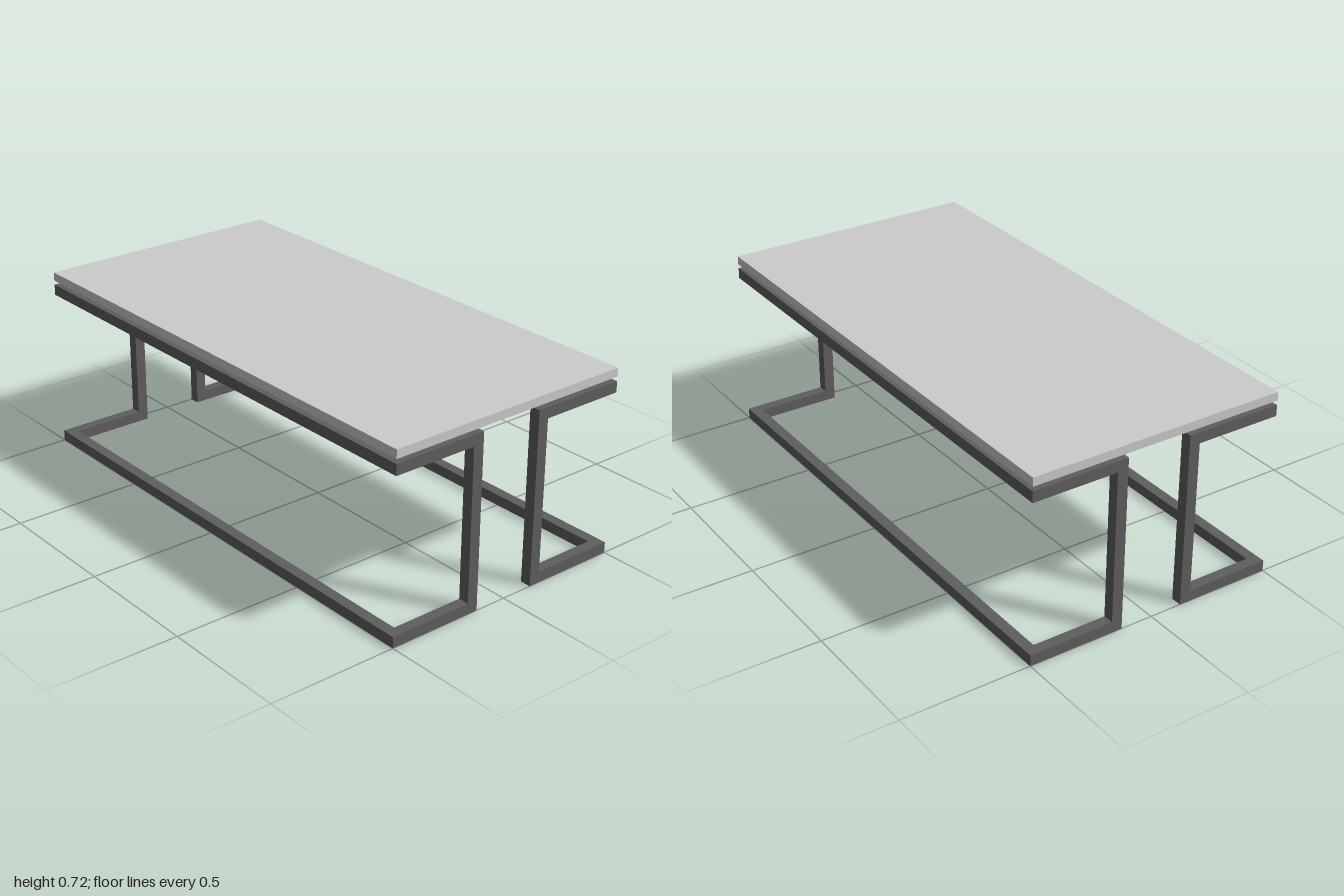
import * as THREE from 'three';

const T = 0.042;          // square tube thickness
const FRAME_TOP = 0.667;  // top of the upper frame
const LEG_Z = 0.126;      // inner face of the legs

export function createModel() {
  const table = new THREE.Group();
  table.name = 'table';
  const topMaterial = new THREE.MeshStandardMaterial({ color: 0xcccccc });
  const frameMaterial = new THREE.MeshStandardMaterial({ color: 0x5e5e5e });

  // Box given by its low and high corners
  function addBox(parent, name, [x0, y0, z0], [x1, y1, z1], material = frameMaterial) {
    const mesh = new THREE.Mesh(new THREE.BoxGeometry(x1 - x0, y1 - y0, z1 - z0), material);
    mesh.position.set((x0 + x1) / 2, (y0 + y1) / 2, (z0 + z1) / 2);
    mesh.name = name;
    parent.add(mesh);
  }

  // Tabletop floating just above the frame
  addBox(table, 'tabletop', [-1, 0.684, -0.5], [1, 0.717, 0.5], topMaterial);

  // Two bent-tube halves, the rear one the front one turned around
  for (const half of ['front', 'rear']) {
    const frame = new THREE.Group();
    frame.name = half + 'Frame';
    frame.rotation.y = half === 'front' ? 0 : Math.PI;
    table.add(frame);

    for (const [level, y] of [['base', 0], ['upper', FRAME_TOP - T]]) {
      addBox(frame, level + 'LongRail', [-1, y, 0.5 - T], [1, y + T, 0.5]);
      for (const x of [-1, 1 - T]) {
        addBox(frame, level + 'EndRail', [x, y, LEG_Z + T], [x + T, y + T, 0.5 - T]);
      }
    }
    for (const x of [-1, 1 - T]) {
      addBox(frame, 'leg', [x, 0, LEG_Z], [x + T, FRAME_TOP, LEG_Z + T]);
    }
  }

  // Crossbars joining the halves under the top
  for (const x of [-0.25, 0.25]) {
    addBox(table, 'crossbar', [x - T / 2, FRAME_TOP - T, T - 0.5], [x + T / 2, FRAME_TOP, 0.5 - T]);
  }
  return table;
}
